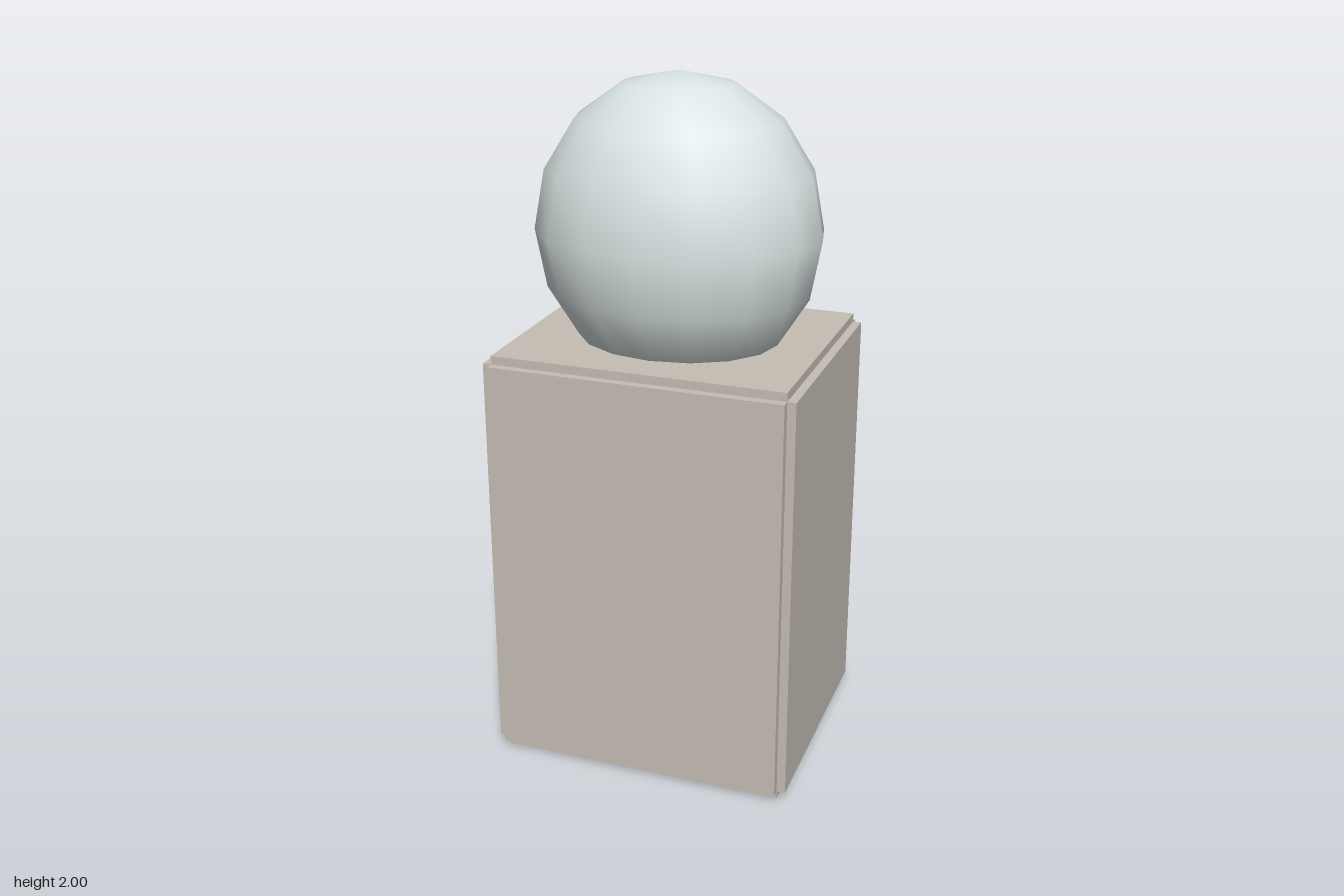
import * as THREE from 'three';

export function createModel() {
  const model = new THREE.Group();
  const stone = new THREE.MeshStandardMaterial({ color: 0xc5beb4 });
  const pale = new THREE.MeshStandardMaterial({ color: 0xd9e3e3 });

  // Block with stepped edges: a core grown by one step along each axis
  const core = [0.85, 1.2, 0.71];
  const growth = [0.05, 0.05, 0.05];
  const names = ['blockSides', 'blockTopAndBottom', 'blockFrontAndBack'];
  const block = new THREE.Group();
  block.name = 'block';
  names.forEach((name, axis) => {
    const size = core.map((s, i) => s + (i === axis ? growth[i] : 0));
    const slab = new THREE.Mesh(new THREE.BoxGeometry(...size), stone);
    slab.name = name;
    slab.position.y = 0.625;
    block.add(slab);
  });
  model.add(block);

  // Smooth ellipsoid sunk into the top of the block
  const ball = new THREE.Mesh(new THREE.SphereGeometry(1, 16, 8), pale);
  ball.name = 'ball';
  ball.scale.set(0.414, 0.44, 0.346);
  ball.position.y = 1.56;
  model.add(ball);

  return model;
}
